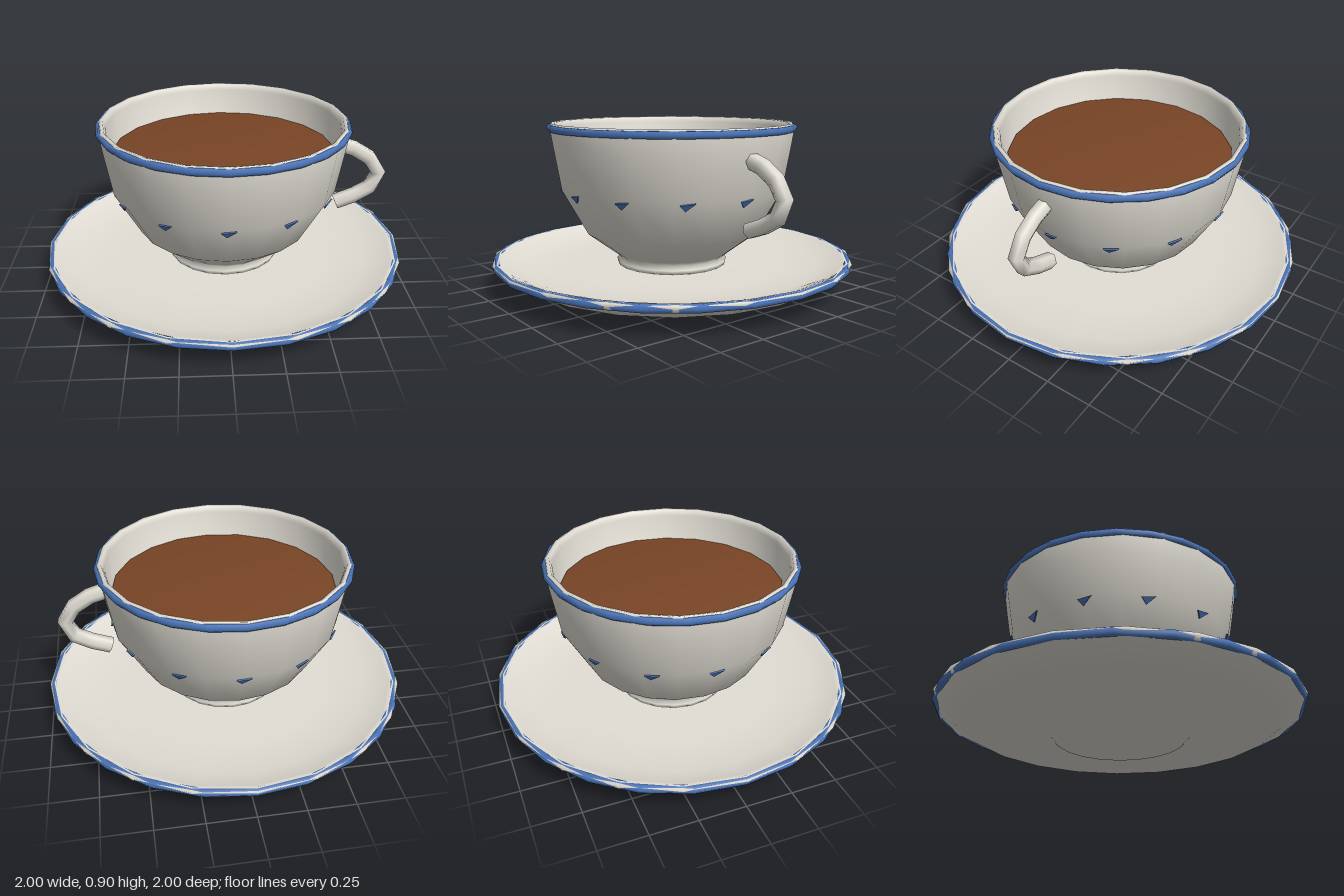
import * as THREE from 'three';

const SEGMENTS = 20;

export function createModel() {
  const model = new THREE.Group();
  const material = (name, color) => {
    const m = new THREE.MeshStandardMaterial({ color, side: THREE.DoubleSide });
    m.name = name;
    return m;
  };
  const porcelain = material('porcelain', 0xe2ded5);
  const blue = material('blue glaze', 0x4a74b8);
  const coffee = material('coffee', 0x7a4526);

  const add = (name, geometry, mat) => {
    const mesh = new THREE.Mesh(geometry, mat);
    mesh.name = name;
    model.add(mesh);
    return mesh;
  };
  const lathe = (name, profile, mat) =>
    add(name, new THREE.LatheGeometry(profile.map(([r, y]) => new THREE.Vector2(r, y)), SEGMENTS), mat);
  const band = (name, radius, tube, y) => {
    const geometry = new THREE.TorusGeometry(radius, tube, 6, 24);
    geometry.rotateX(Math.PI / 2);
    add(name, geometry, blue).position.y = y;
  };

  // Saucer: foot disc, underside, lip and shallow dish
  lathe('saucer', [
    [0, 0], [0.35, 0], [0.38, 0.027], [0.85, 0.065], [0.985, 0.135], [1, 0.165],
    [0.97, 0.17], [0.95, 0.163], [0.82, 0.118], [0.6, 0.11], [0, 0.11],
  ], porcelain);
  band('saucerBand', 0.977, 0.022, 0.15);

  // Cup: foot ring, bowl, rounded rim and inner wall
  lathe('cup', [
    [0, 0.112], [0.305, 0.112], [0.31, 0.135], [0.29, 0.155], [0.32, 0.18],
    [0.48, 0.3], [0.62, 0.55], [0.66, 0.78], [0.676, 0.88],
    [0.665, 0.904], [0.647, 0.9], [0.635, 0.87], [0.595, 0.6], [0.42, 0.3], [0, 0.2],
  ], porcelain);
  band('cupBand', 0.666, 0.021, 0.878);

  // Drink surface, softly rounded towards its edge
  lathe('coffee', [[0.585, 0.66], [0.607, 0.73], [0, 0.73]], coffee);

  // Open-ended curved handle
  const path = new THREE.CatmullRomCurve3([
    [0.62, 0.75], [0.71, 0.725], [0.82, 0.655], [0.868, 0.565], [0.815, 0.475], [0.635, 0.395],
  ].map(([x, y]) => new THREE.Vector3(x, y, 0)));
  add('handle', new THREE.TubeGeometry(path, 6, 0.044, 6, false), porcelain);

  // Painted flecks around the bowl, leaning with the wall
  const fleck = new THREE.Shape([
    new THREE.Vector2(-0.038, 0.012), new THREE.Vector2(-0.01, -0.024), new THREE.Vector2(0.038, 0.022),
  ].map((p) => p.clone()));
  const fleckGeometry = new THREE.ExtrudeGeometry(fleck, { depth: 0.008, bevelEnabled: false });
  for (let i = 0; i < 12; i++) {
    const angle = (i * Math.PI) / 6;
    const mesh = add('fleck', fleckGeometry, blue);
    mesh.rotation.set(0.51, angle, 0, 'YXZ');
    mesh.position.set(Math.sin(angle) * 0.607, 0.53, Math.cos(angle) * 0.607);
  }

  return model;
}
